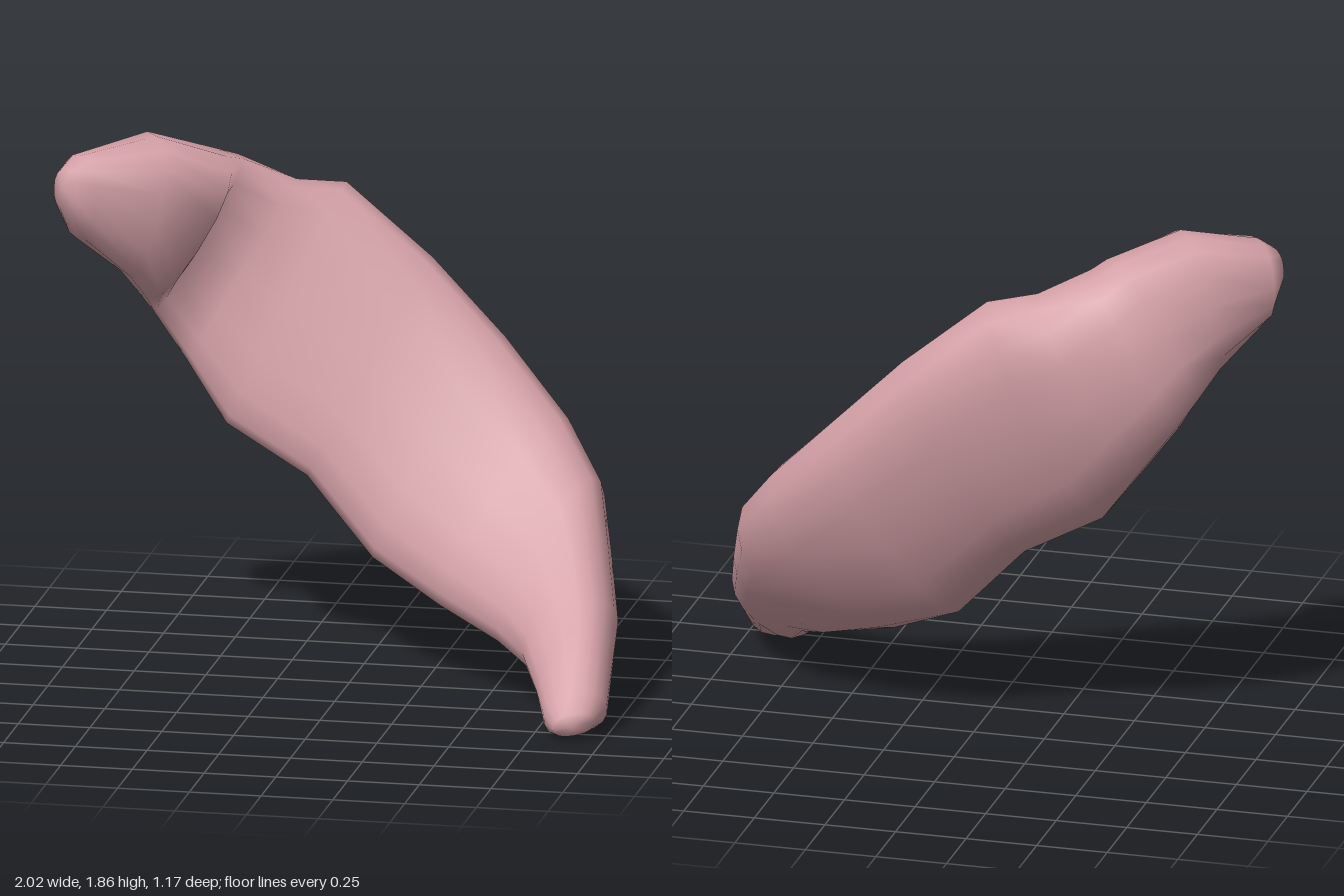
import * as THREE from 'three';

// Cross-sections from the blunt head to the narrow tail:
// [lower edge xyz, upper edge xyz, front bulge, back bulge]
const SECTIONS = [
  [-0.98, 1.63, 0.05, -0.98, 1.77, 0.03, 0.05, 0.06],
  [-0.95, 1.52, 0.0, -0.94, 1.81, -0.01, 0.12, 0.12],
  [-0.83, 1.37, -0.16, -0.7, 1.86, -0.13, 0.18, 0.17],
  [-0.78, 1.27, -0.24, -0.47, 1.77, -0.24, 0.17, 0.19],
  [-0.74, 1.2, -0.28, -0.43, 1.75, -0.3, 0.08, 0.2],
  [-0.62, 1.04, -0.26, -0.26, 1.67, -0.37, 0.09, 0.2],
  [-0.47, 0.84, -0.2, -0.1, 1.65, -0.44, 0.1, 0.21],
  [-0.18, 0.68, -0.16, 0.2, 1.4, -0.44, 0.11, 0.2],
  [0.06, 0.42, -0.1, 0.46, 1.14, -0.41, 0.13, 0.2],
  [0.32, 0.3, 0.03, 0.7, 0.89, -0.31, 0.14, 0.19],
  [0.55, 0.22, 0.16, 0.84, 0.71, -0.18, 0.14, 0.17],
  [0.67, 0.17, 0.27, 0.9, 0.53, -0.01, 0.13, 0.14],
  [0.75, 0.08, 0.41, 0.96, 0.36, 0.18, 0.12, 0.12],
  [0.79, 0.04, 0.54, 0.995, 0.1, 0.48, 0.1, 0.09],
  [0.83, 0.04, 0.6, 0.97, 0.07, 0.57, 0.04, 0.04],
];
const SIDES = 16;

// Lofts rounded flat rings through the sections and closes both ends
function loftGeometry() {
  const rows = SECTIONS.map(s => {
    const low = new THREE.Vector3(s[0], s[1], s[2]);
    const high = new THREE.Vector3(s[3], s[4], s[5]);
    return {
      mid: low.clone().add(high).multiplyScalar(0.5),
      half: high.clone().sub(low).multiplyScalar(0.5),
      front: s[6],
      back: s[7],
    };
  });
  const points = [];
  const index = [];
  const last = rows.length - 1;
  const soften = v => Math.sign(v) * Math.pow(Math.abs(v), 0.85);

  rows.forEach((row, i) => {
    const along = rows[Math.min(i + 1, last)].mid.clone().sub(rows[Math.max(i - 1, 0)].mid);
    const normal = along.cross(row.half).normalize();
    for (let j = 0; j < SIDES; j++) {
      const a = (j / SIDES) * Math.PI * 2;
      const depth = soften(Math.sin(a)) * (Math.sin(a) > 0 ? row.front : row.back);
      const p = row.mid.clone()
        .addScaledVector(row.half, soften(Math.cos(a)))
        .addScaledVector(normal, depth);
      points.push(p.x, Math.max(p.y, 0), p.z);
    }
  });
  for (let i = 0; i < last; i++) {
    for (let j = 0; j < SIDES; j++) {
      const k = (j + 1) % SIDES;
      const a = i * SIDES + j, b = i * SIDES + k;
      index.push(a, b, b + SIDES, a, b + SIDES, a + SIDES);
    }
  }
  // End caps, pushed out slightly so they stay rounded
  const addCap = (row, ring, inner, flip) => {
    const c = points.length / 3;
    const tip = rows[row].mid.clone();
    tip.add(tip.clone().sub(rows[inner].mid).normalize().multiplyScalar(0.02));
    points.push(tip.x, tip.y, tip.z);
    for (let j = 0; j < SIDES; j++) {
      const a = ring + j, b = ring + (j + 1) % SIDES;
      if (flip) index.push(c, b, a);
      else index.push(c, a, b);
    }
  };
  addCap(0, 0, 1, true);
  addCap(last, last * SIDES, last - 1, false);

  const geometry = new THREE.BufferGeometry();
  geometry.setAttribute('position', new THREE.Float32BufferAttribute(points, 3));
  geometry.setIndex(index);
  geometry.computeVertexNormals();
  return geometry;
}

export function createModel() {
  const group = new THREE.Group();
  group.name = 'curvedLobe';
  const pink = new THREE.MeshStandardMaterial({ color: 0xd29fa5 });
  pink.name = 'dusty pink';
  const body = new THREE.Mesh(loftGeometry(), pink);
  body.name = 'body';
  group.add(body);
  return group;
}
